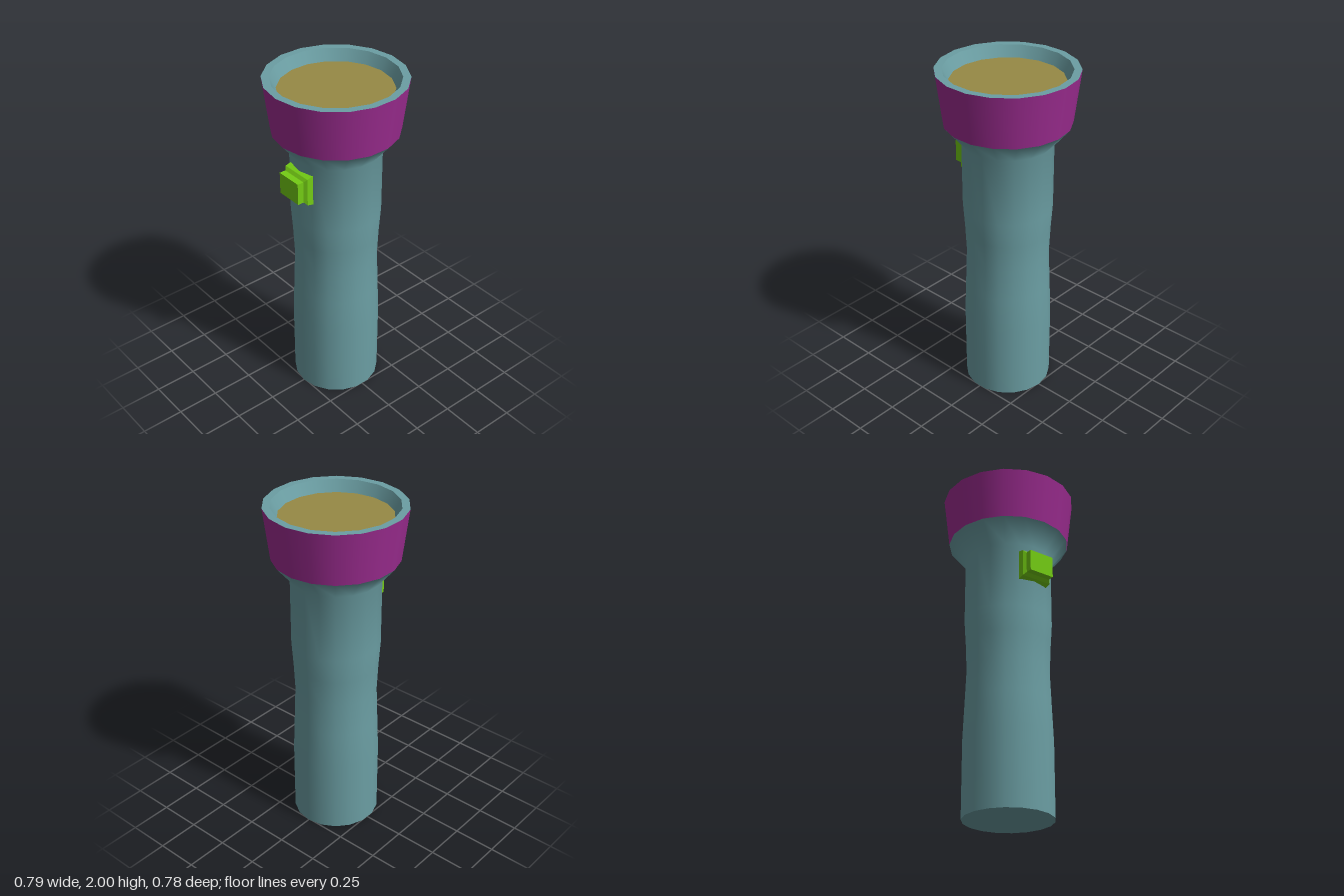
import * as THREE from 'three';

const SIDES = 18;
const TEAL = 0x6b9ea3, PURPLE = 0x9c2c90, GREEN = 0x74cc14, OLIVE = 0x978a45;

function addMesh(group, name, geometry, color) {
  const mesh = new THREE.Mesh(geometry, new THREE.MeshStandardMaterial({ color }));
  mesh.name = name;
  group.add(mesh);
  return mesh;
}

// Turned surface from [radius, height] pairs, with a corner on the x axis
function turned(profile) {
  const points = profile.map(([r, y]) => new THREE.Vector2(r, y));
  return new THREE.LatheGeometry(points, SIDES, Math.PI / 2);
}

// Flat disc facing up (+1) or down (-1)
function disc(radius, y, facing) {
  return new THREE.CircleGeometry(radius, SIDES).rotateX(-facing * Math.PI / 2).translate(0, y, 0);
}

// Rectangular sections [x, halfHeight, halfWidth] joined towards -x, closed at the outer end
function steppedBlock(sections) {
  const rings = sections.map(([x, h, w]) => [[x, -h, -w], [x, -h, w], [x, h, w], [x, h, -w]]);
  const positions = [];
  const quad = (a, b, c, d) => positions.push(...a, ...b, ...c, ...a, ...c, ...d);
  for (let s = 0; s < rings.length - 1; s++) {
    for (let i = 0; i < 4; i++) {
      const j = (i + 1) % 4;
      quad(rings[s][i], rings[s][j], rings[s + 1][j], rings[s + 1][i]);
    }
  }
  quad(...rings[rings.length - 1]);
  const geometry = new THREE.BufferGeometry();
  geometry.setAttribute('position', new THREE.Float32BufferAttribute(positions, 3));
  geometry.computeVertexNormals();
  return geometry;
}

export function createModel() {
  const model = new THREE.Group();
  model.name = 'flashlight';

  // Handle with a slight waist, flaring out to the head
  addMesh(model, 'handle', turned([
    [0.257, 0], [0.257, 0.45], [0.248, 0.67], [0.24, 0.87],
    [0.247, 1.03], [0.257, 1.18], [0.257, 1.58], [0.358, 1.7],
  ]), TEAL);
  addMesh(model, 'endCap', disc(0.257, 0, -1), TEAL);

  // Head band, rim and recessed lens
  addMesh(model, 'headBand', turned([[0.358, 1.7], [0.395, 2]]), PURPLE);
  addMesh(model, 'rim', turned([[0.395, 2], [0.352, 2]]), TEAL);
  addMesh(model, 'innerWall', turned([[0.352, 2], [0.318, 1.935]]), TEAL);
  addMesh(model, 'lens', disc(0.318, 1.935, 1), OLIVE);

  // Sliding switch on the side of the handle
  const slider = addMesh(model, 'switch', steppedBlock([
    [-0.235, 0.091, 0.095], [-0.275, 0.081, 0.095],
    [-0.29, 0.064, 0.079], [-0.328, 0.064, 0.079],
  ]), GREEN);
  slider.position.y = 1.436;

  return model;
}
